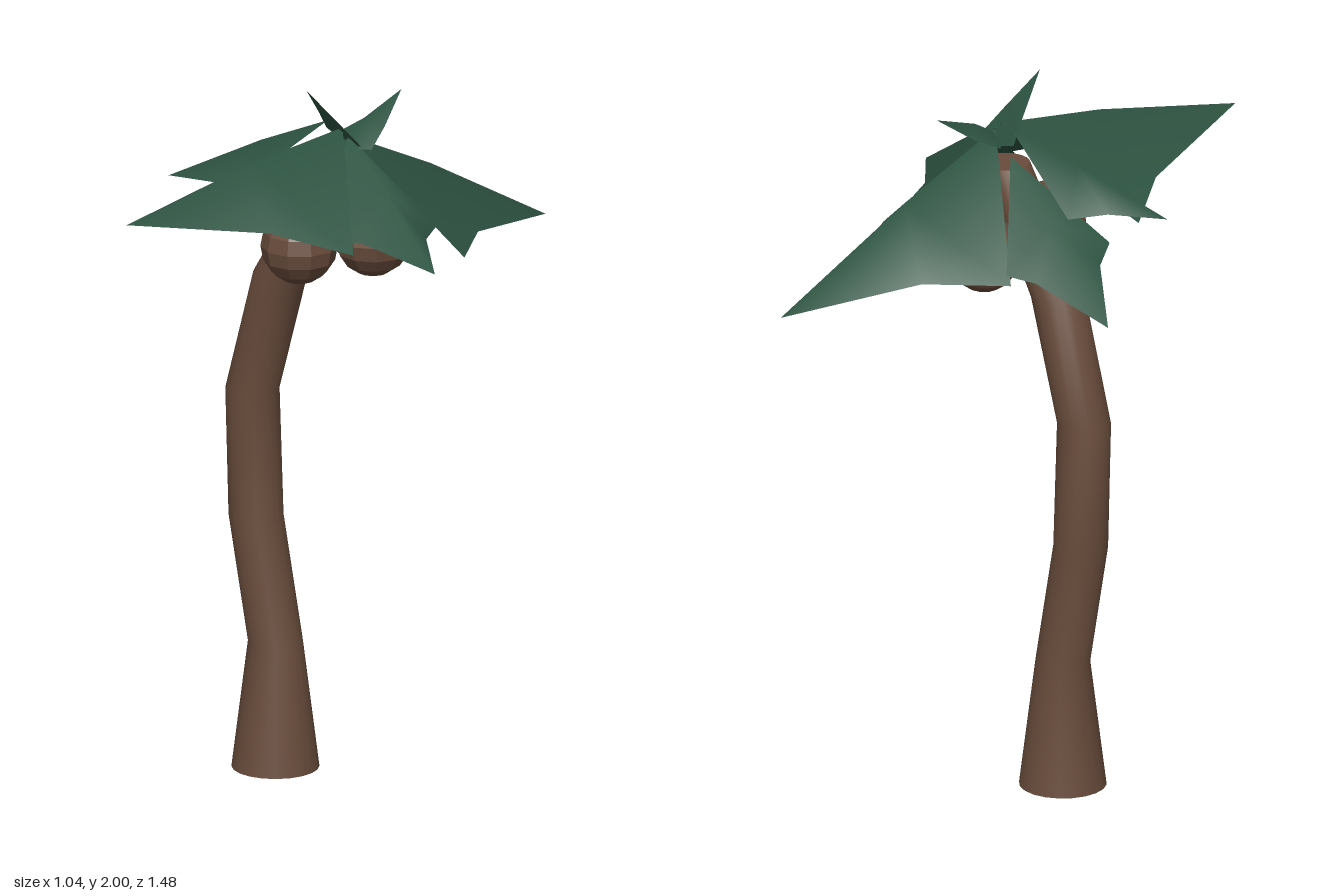
import * as THREE from 'three';
import { mergeVertices } from 'three/addons/utils/BufferGeometryUtils.js';

const bark = new THREE.MeshStandardMaterial({ color: 0x694c3c });
bark.name = 'bark brown';
const green = new THREE.MeshStandardMaterial({ color: 0x2e5442, side: THREE.DoubleSide });
green.name = 'frond green';

// Bent trunk: a cylinder whose rings follow [x, y, radius]
function makeTrunk() {
  const rings = [
    [-0.165, 0, 0.12], [-0.165, 0.36, 0.075], [-0.23, 0.71, 0.075],
    [-0.242, 1.07, 0.074], [-0.147, 1.42, 0.075], [0.045, 1.76, 0.068],
  ];
  let geo = new THREE.CylinderGeometry(1, 1, 1, 20, 5);
  geo.deleteAttribute('uv');
  geo = mergeVertices(geo);
  const p = geo.attributes.position;
  for (let i = 0; i < p.count; i++) {
    const [x, y, r] = rings[Math.round((p.getY(i) + 0.5) * 5)];
    p.setXYZ(i, x + p.getX(i) * r, y, -0.02 + p.getZ(i) * r);
  }
  geo.computeVertexNormals();
  const mesh = new THREE.Mesh(geo, bark);
  mesh.name = 'trunk';
  return mesh;
}

// Folded frond: two halves drooping from a spine (hub, ridge, tip).
// Each side is [corner near the hub, notch towards the tip].
function makeFrond(name, hub, tip, left, right, lift) {
  const ridge = hub.map((v, i) => v + (tip[i] - v) * 0.42 + (i === 1 ? lift : 0));
  const geo = new THREE.BufferGeometry();
  const points = [hub, ridge, tip, ...left, ...right];
  geo.setAttribute('position', new THREE.Float32BufferAttribute(points.flat(), 3));
  geo.setIndex([0, 1, 3, 1, 4, 3, 1, 2, 4, 0, 5, 1, 1, 5, 6, 1, 6, 2]);
  geo.computeVertexNormals();
  const mesh = new THREE.Mesh(geo, green);
  mesh.name = name;
  return mesh;
}

export function createModel() {
  const tree = new THREE.Group();
  tree.name = 'palmTree';
  tree.add(makeTrunk());

  // Coconuts under the crown
  const nuts = [[0.015, 1.56, 0.12], [0.155, 1.57, -0.03], [-0.02, 1.555, -0.18]];
  nuts.forEach((pos, i) => {
    const geo = new THREE.SphereGeometry(0.106, 10, 8).toNonIndexed();
    geo.computeVertexNormals();
    const nut = new THREE.Mesh(geo, bark);
    nut.position.set(...pos);
    nut.rotation.y = i * 0.4;
    nut.name = 'coconut' + (i + 1);
    tree.add(nut);
  });

  // Crown: name, hub, tip, left side, right side, ridge lift
  const fronds = [
    ['frontFrond', [0.06, 1.87, -0.02], [-0.12, 1.755, 0.74],
      [[0.315, 1.63, 0.285], [0.12, 1.69, 0.41]],
      [[-0.295, 1.62, 0.145], [-0.185, 1.67, 0.34]], 0.015],
    ['backFrond', [0.08, 1.85, -0.02], [0.225, 1.465, -0.74],
      [[-0.215, 1.54, -0.29], [-0.015, 1.535, -0.43]],
      [[0.39, 1.53, -0.13], [0.285, 1.53, -0.34]], 0.015],
    ['leftFrond', [0.08, 1.85, -0.02], [0.52, 1.59, 0.19],
      [[0.31, 1.61, -0.11], [0.355, 1.61, 0]],
      [[0.11, 1.61, 0.195], [0.26, 1.625, 0.17]], 0.01],
    ['rightBackFrond', [-0.01, 1.8, -0.06], [-0.52, 1.48, -0.235],
      [[-0.3, 1.6, 0.02], [-0.345, 1.57, -0.07]],
      [[-0.19, 1.56, -0.28], [-0.27, 1.55, -0.25]], 0.01],
    ['rightFrontFrond', [-0.01, 1.87, -0.05], [-0.43, 1.675, 0.11],
      [[-0.19, 1.69, 0.125], [-0.28, 1.68, 0.1]],
      [[-0.255, 1.69, -0.1], [-0.31, 1.69, 0]], 0.01],
    // young shoots at the top
    ['frontShoot', [0.06, 1.81, -0.05], [0.025, 2, 0.1],
      [[0.13, 1.83, -0.01], [0.095, 1.89, 0.03]],
      [[-0.03, 1.84, -0.07], [-0.01, 1.9, -0.01]], 0.01],
    ['backShoot', [0.08, 1.82, 0.01], [0.1, 1.93, -0.24],
      [[0, 1.83, -0.09], [0.04, 1.86, -0.15]],
      [[0.15, 1.82, -0.03], [0.13, 1.86, -0.12]], 0.015],
  ];
  fronds.forEach((f) => tree.add(makeFrond(...f)));
  return tree;
}
